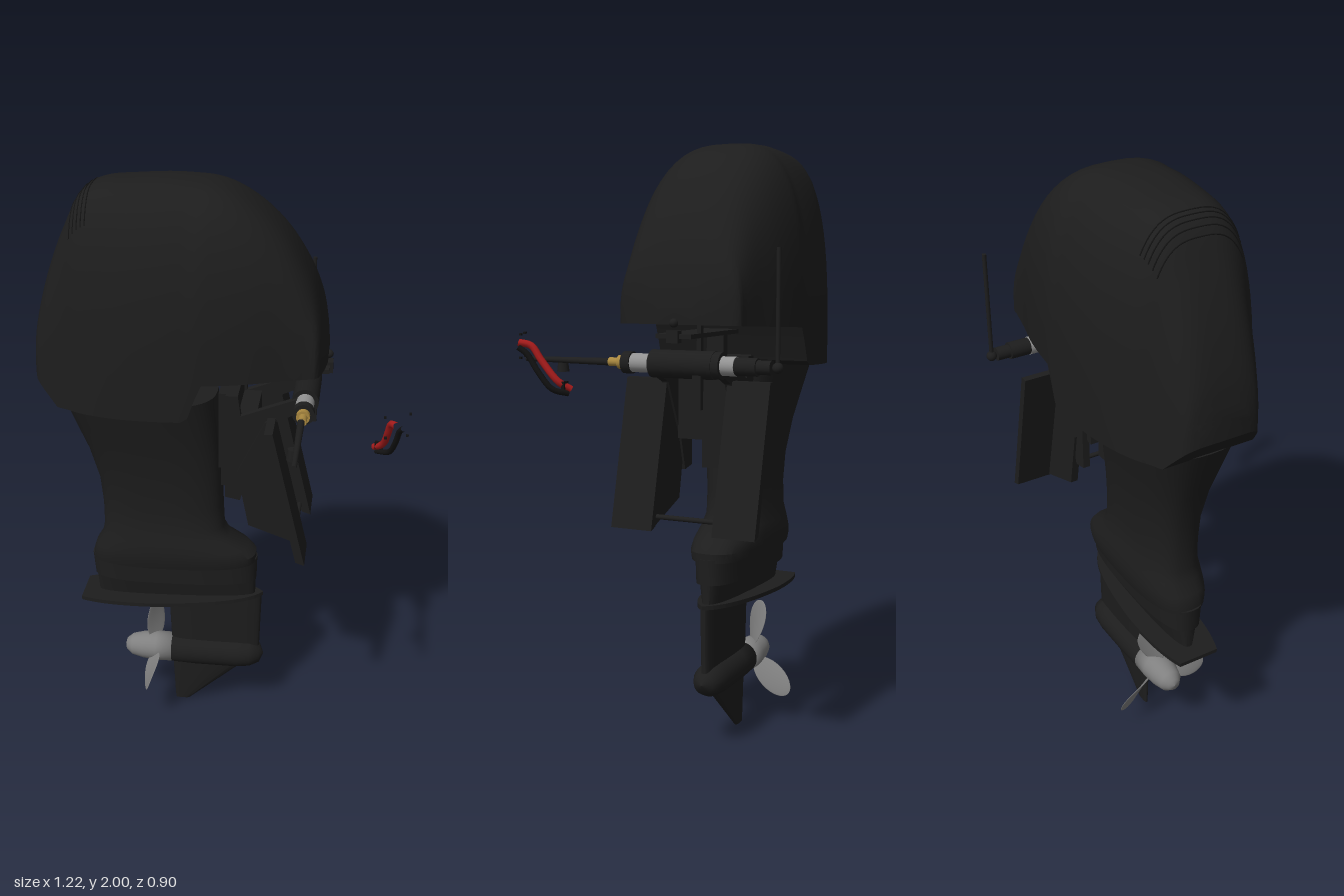
import * as THREE from 'three';
import { toCreasedNormals } from 'three/addons/utils/BufferGeometryUtils.js';

const mat = (name, color, side = THREE.FrontSide) => {
  const m = new THREE.MeshStandardMaterial({ color, side });
  m.name = name;
  return m;
};
const V = (x, y, z) => new THREE.Vector3(x, y, z);

// Skin through equal-length rings of points, capped at both ends
function loft(rings, crease = 0.6) {
  const n = rings[0].length, pos = [], idx = [];
  rings.forEach(r => r.forEach(p => pos.push(p.x, p.y, p.z)));
  for (let i = 0; i < rings.length - 1; i++)
    for (let j = 0; j < n; j++) {
      const k = (j + 1) % n, a = i * n, b = a + n;
      idx.push(a + j, b + j, b + k, a + j, b + k, a + k);
    }
  [0, rings.length - 1].forEach((r, end) => {
    const c = rings[r].reduce((s, p) => s.add(p), V(0, 0, 0)).divideScalar(n);
    const ci = pos.length / 3;
    pos.push(c.x, c.y, c.z);
    for (let j = 0; j < n; j++) {
      const a = r * n + j, b = r * n + (j + 1) % n;
      idx.push(ci, end ? b : a, end ? a : b);
    }
  });
  const g = new THREE.BufferGeometry();
  g.setAttribute('position', new THREE.Float32BufferAttribute(pos, 3));
  g.setIndex(idx);
  return toCreasedNormals(g, crease);
}

// Linear lookup in rows of [x, ...values]
function at(rows, x) {
  let i = 0;
  while (i < rows.length - 2 && x > rows[i + 1][0]) i++;
  const a = rows[i], b = rows[i + 1];
  const t = THREE.MathUtils.clamp((x - a[0]) / (b[0] - a[0]), 0, 1);
  return a.map((v, k) => v + (b[k] - v) * t);
}
const pw = (v, e) => Math.sign(v) * Math.pow(Math.abs(v), e);

// Cowl: [x, top, half width] along its length, and the stepped lower edge
const cowlRows = new THREE.CatmullRomCurve3([
  [-0.613, 1.46, 0.085], [-0.6, 1.55, 0.118], [-0.56, 1.7, 0.143], [-0.5, 1.85, 0.17],
  [-0.44, 1.955, 0.205], [-0.38, 1.985, 0.228], [-0.28, 1.995, 0.253], [-0.13, 2, 0.267],
  [0, 1.985, 0.261], [0.1, 1.935, 0.248], [0.2, 1.845, 0.225], [0.28, 1.72, 0.209],
  [0.315, 1.63, 0.2], [0.334, 1.55, 0.14], [0.344, 1.48, 0.06],
].map(p => V(...p))).getPoints(84).map(p => p.toArray());
const cowlBase = [[-0.615, 1.36], [-0.53, 1.265], [-0.09, 1.285], [-0.045, 1.41], [0.34, 1.43]];
function cowlPoint(x, th) {
  const [, top, hw] = at(cowlRows, x), base = at(cowlBase, x)[1];
  return V(x, base + (top - base) * pw(Math.sin(th), 0.66), hw * pw(Math.cos(th), 0.66));
}

export function createModel() {
  const black = mat('satin black', 0x1d1d1d);
  const dark = mat('deep black', 0x121212);
  const grey = mat('propeller grey', 0x808080, THREE.DoubleSide);
  const silver = mat('bare steel', 0x929292);
  const brass = mat('brass', 0xa8873f);
  const red = mat('red cable', 0xa81c1c);

  const model = new THREE.Group();
  const motor = new THREE.Group();
  motor.name = 'outboardMotor';
  motor.position.z = -0.127;
  model.add(motor);
  const add = (name, geo, m = black, x = 0, y = 0, z = 0, parent = motor) => {
    const o = new THREE.Mesh(geo, m);
    o.name = name;
    o.position.set(x, y, z);
    parent.add(o);
    return o;
  };
  const box = (name, x0, x1, y0, y1, z0, z1, m = black, parent = motor) =>
    add(name, new THREE.BoxGeometry(x1 - x0, y1 - y0, z1 - z0), m,
      (x0 + x1) / 2, (y0 + y1) / 2, (z0 + z1) / 2, parent);
  const slab = (name, pts, z0, z1) => {
    const s = new THREE.Shape(pts.map(p => new THREE.Vector2(...p)));
    return add(name, new THREE.ExtrudeGeometry(s, { depth: z1 - z0, bevelEnabled: false }), black, 0, 0, z0);
  };
  const tube = (name, pts, r, m, parent = motor) =>
    add(name, new THREE.TubeGeometry(new THREE.CatmullRomCurve3(pts), 24, r, 8), m, 0, 0, 0, parent);

  // Cowl and its rear vents
  add('cowl', loft(cowlRows.map(([x]) =>
    Array.from({ length: 37 }, (_, j) => cowlPoint(x, Math.PI * j / 36)))));
  for (let i = 0; i < 5; i++) {
    const pts = [];
    for (let k = 0; k <= 20; k++) pts.push(cowlPoint(-0.467 + i * 0.014, 0.92 + 1.3 * k / 20));
    tube('cowlVent', pts, 0.002, dark);
  }
  add('cowlLatch', new THREE.SphereGeometry(0.014, 12, 8), black, 0.346, 1.435, 0);

  // Midsection: [y, rear x, front x, half width]
  const ring = ([y, x0, x1, hw], tilt = 0) => Array.from({ length: 40 }, (_, j) => {
    const a = j / 40 * Math.PI * 2, x = (x0 + x1) / 2 + (x1 - x0) / 2 * pw(Math.cos(a), 0.75);
    return V(x, y + tilt * x, hw * pw(Math.sin(a), 0.75));
  });
  add('midsection', loft([
    [0.64, -0.465, 0.118, 0.105], [0.67, -0.465, 0.118, 0.112], [0.7, -0.455, 0.09, 0.112],
    [0.74, -0.43, 0.025, 0.108], [0.78, -0.423, 0.004, 0.096], [0.86, -0.423, 0, 0.094],
    [0.96, -0.432, -0.002, 0.1], [1.08, -0.465, -0.008, 0.118], [1.18, -0.505, -0.014, 0.14],
    [1.285, -0.545, -0.02, 0.165],
  ].map(r => ring(r, 0.02))));
  add('exhaustCollar', loft([[0.565, -0.465, 0.12, 0.08], [0.65, -0.472, 0.122, 0.084]].map(r => ring(r, 0.02))));
  add('lowerCollar', loft([[0.47, -0.455, 0.115, 0.035], [0.575, -0.462, 0.118, 0.06]].map(r => ring(r, 0.02))));

  // Flat plate above the propeller
  const plate = new THREE.Shape();
  plate.moveTo(-0.51, -0.07);
  plate.quadraticCurveTo(-0.42, -0.105, -0.25, -0.105);
  plate.quadraticCurveTo(0.08, -0.09, 0.145, 0);
  plate.quadraticCurveTo(0.08, 0.09, -0.25, 0.105);
  plate.quadraticCurveTo(-0.42, 0.105, -0.51, 0.07);
  const cav = add('cavitationPlate',
    new THREE.ExtrudeGeometry(plate, { depth: 0.014, bevelEnabled: false, curveSegments: 12 }), black, 0, 0.498, 0);
  cav.rotation.set(Math.PI / 2, 0, 0.04, 'ZYX');

  // Gearcase leg, torpedo and skeg
  add('gearcaseLeg', loft([[0.22, -0.19, 0.132, 0.024], [0.49, -0.2, 0.14, 0.028]].map(r => ring(r))));
  add('skeg', loft([[0.005, -0.18, -0.13, 0.006], [0.03, -0.182, -0.102, 0.008], [0.22, -0.19, 0.11, 0.018]].map(r => ring(r))));
  const lathe = (name, pts, m) => {
    const o = add(name, new THREE.LatheGeometry(pts.map(p => new THREE.Vector2(...p)), 28), m, 0, 0.235, 0);
    o.rotation.z = -Math.PI / 2;
  };
  lathe('gearcaseTorpedo', [[0, -0.19], [0.054, -0.19], [0.058, -0.1], [0.058, 0.05], [0.052, 0.1], [0.035, 0.135], [0, 0.15]], black);
  lathe('propellerHub', [[0, -0.368], [0.022, -0.362], [0.04, -0.34], [0.05, -0.3], [0.055, -0.25], [0.054, -0.188], [0, -0.188]], grey);

  // Three twisted propeller blades
  for (let i = 0; i < 3; i++) {
    const g = new THREE.SphereGeometry(1, 20, 14), p = g.attributes.position;
    for (let k = 0; k < p.count; k++) {
      const r = 0.115 + 0.085 * p.getY(k), w = 0.046 * p.getZ(k), tw = 0.95 - 3 * r;
      p.setXYZ(k, 0.004 * p.getX(k) - w * Math.sin(tw), r, w * Math.cos(tw));
    }
    g.computeVertexNormals();
    const b = add('propellerBlade', g, grey, -0.255, 0.235, 0);
    b.rotation.x = -0.22 + i * Math.PI * 2 / 3;
  }

  // Transom clamp brackets: a sloping plate on an inner web
  for (const s of [1, -1]) {
    const span = (a, b) => s > 0 ? [a, b] : [-b, -a];
    slab('transomPlate', [[0.158, 1.25], [0.27, 0.785], [0.3, 0.775], [0.185, 1.25]], ...span(0.105, 0.25));
    slab('bracketWeb', [[0.06, 1.05], [0.1, 0.85], [0.28, 0.785], [0.17, 1.25], [0.15, 1.235]], ...span(0.105, 0.13));
    slab('clampArm', [[0.02, 1.32], [0.02, 0.95], [0.07, 0.94], [0.1, 1.05], [0.19, 1.24], [0.28, 1.28], [0.28, 1.33], [0.2, 1.3], [0.07, 1.25], [0.06, 1.32]],
      ...span(0.098, 0.122));
  }
  box('swivelHousing', -0.005, 0.06, 1.05, 1.32, -0.105, 0.105);
  box('swivelFoot', -0.005, 0.065, 0.95, 1.05, -0.04, 0.04);
  box('swivelFront', 0.05, 0.12, 1.05, 1.25, -0.1, 0.1);
  box('steeringArm', 0, 0.35, 1.388, 1.402, -0.06, 0.06);
  box('steeringArmTip', 0.335, 0.36, 1.375, 1.412, -0.02, 0.02);
  box('armPost', 0.02, 0.05, 1.3, 1.395, -0.03, 0.03);
  box('linkPost', 0.265, 0.28, 1.31, 1.43, -0.06, -0.045);

  // Cylinders running across the boat
  const rod = (name, z0, z1, r, m = black, x = 0.278, y = 1.305, r2 = r) => {
    const g = new THREE.CylinderGeometry(r, r2, z1 - z0, 20).rotateX(Math.PI / 2);
    add(name, g, m, x, y, (z0 + z1) / 2, model);
  };
  rod('bracketTieRod', -0.25, 0, 0.008, black, 0.26, 0.815);
  rod('steeringCylinder', -0.235, -0.02, 0.044);
  rod('cylinderRing', -0.02, 0.05, 0.03, silver);
  rod('cylinderRing', -0.305, -0.255, 0.03, silver);
  rod('cylinderFlange', -0.26, -0.235, 0.042);
  rod('cylinderEnd', 0.05, 0.08, 0.035);
  rod('cylinderEnd', -0.375, -0.305, 0.028);
  rod('endCap', -0.42, -0.37, 0.022);
  add('endBall', new THREE.SphereGeometry(0.017, 16, 12), black, 0.275, 1.305, -0.437, model);
  rod('brassNut', 0.08, 0.1, 0.022, brass);
  rod('brassFitting', 0.1, 0.135, 0.014, brass);
  rod('steeringRod', 0.135, 0.45, 0.008, black, 0.274, 1.304, 0.012);
  add('rodLever', new THREE.CylinderGeometry(0.016, 0.02, 0.035, 12), black, 0.262, 1.283, 0.318, model);
  add('uprightRod', new THREE.CylinderGeometry(0.007, 0.007, 0.36, 10), black, 0.275, 1.48, -0.437, model);
  box('hangingLink', 0.292, 0.31, 1.17, 1.31, -0.2, -0.17, black, model);

  // Loose battery cables with small fasteners
  tube('redCable', [V(0.505, 1.237, 0.14), V(0.53, 1.262, 0.17), V(0.543, 1.325, 0.22), V(0.55, 1.368, 0.25), V(0.565, 1.378, 0.285)], 0.011, red, model);
  tube('blackCable', [V(0.512, 1.225, 0.145), V(0.55, 1.24, 0.178), V(0.567, 1.29, 0.215), V(0.577, 1.345, 0.248), V(0.587, 1.365, 0.272)], 0.009, dark, model);
  box('cableTie', 0.506, 0.532, 1.238, 1.262, 0.148, 0.158, dark, model);
  for (const [x, y, z] of [[0.53, 1.405, 0.285], [0.605, 1.405, 0.25], [0.6, 1.335, 0.255], [0.535, 1.335, 0.28]])
    box('fastener', x - 0.004, x + 0.004, y - 0.003, y + 0.003, z - 0.004, z + 0.004, dark, model);

  return model;
}
